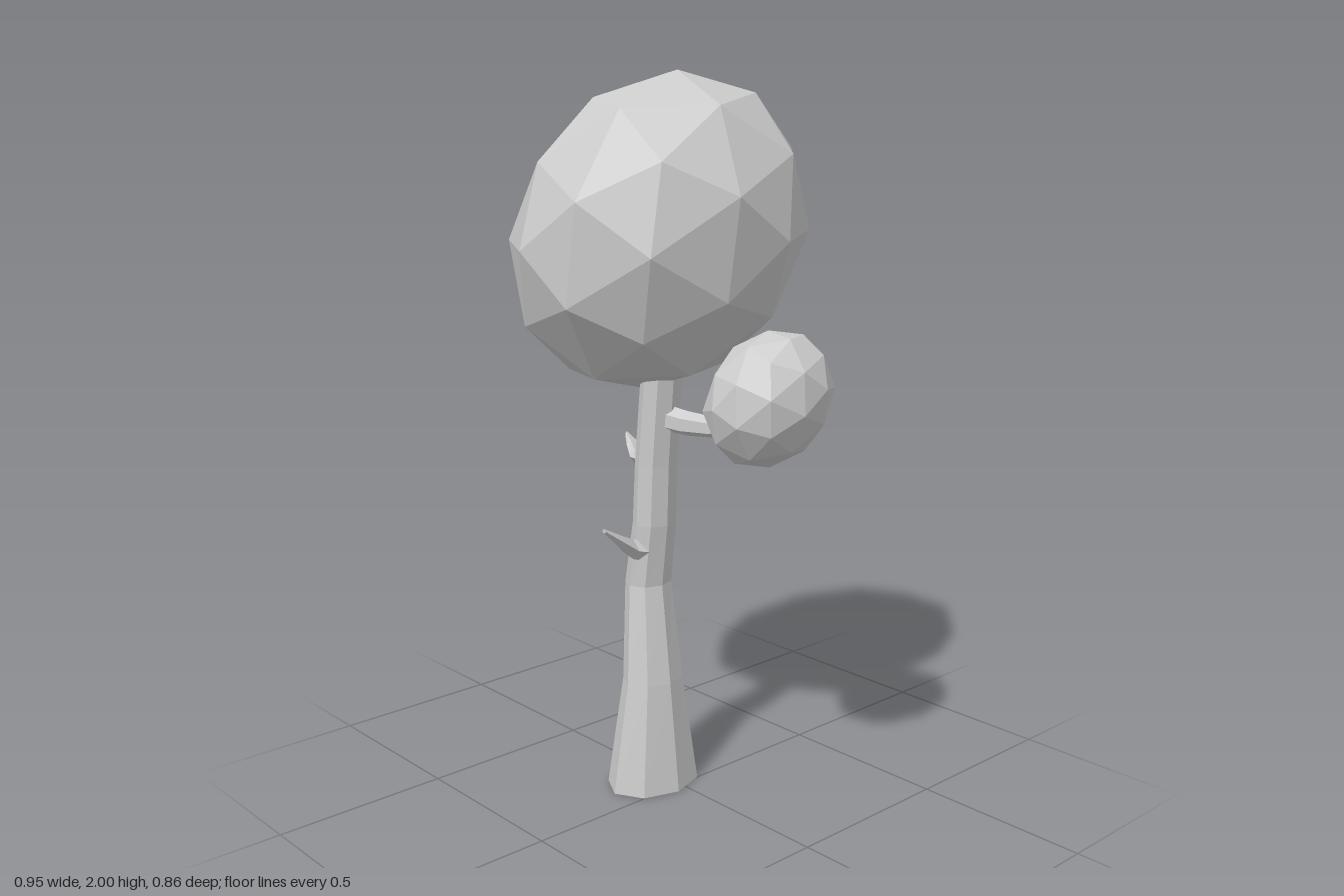
import * as THREE from 'three';

const bark = new THREE.MeshStandardMaterial({ color: 0xcccccc, flatShading: true });
const leaves = new THREE.MeshStandardMaterial({ color: 0xcccccc, flatShading: true });

const X = new THREE.Vector3(1, 0, 0);
const Y = new THREE.Vector3(0, 1, 0);
const Z = new THREE.Vector3(0, 0, 1);

// Closed limb through rings [x, y, z, radiusU, radiusV]; u x v points along the limb
function limb(name, rings, u, v, sides) {
  const pos = [];
  const index = [];
  for (const [x, y, z, ru, rv] of rings) {
    for (let j = 0; j < sides; j++) {
      const a = (j / sides) * Math.PI * 2;
      const p = new THREE.Vector3(x, y, z)
        .addScaledVector(u, Math.cos(a) * ru)
        .addScaledVector(v, Math.sin(a) * rv);
      pos.push(p.x, p.y, p.z);
    }
  }
  const last = (rings.length - 1) * sides;
  for (let j = 0; j < sides; j++) {
    const k = (j + 1) % sides;
    for (let r = 0; r < last; r += sides) {
      index.push(r + j, r + k, r + sides + k, r + j, r + sides + k, r + sides + j);
    }
    // End caps as fans
    if (j > 0 && k > 0) {
      index.push(0, k, j, last, last + j, last + k);
    }
  }
  const geo = new THREE.BufferGeometry();
  geo.setAttribute('position', new THREE.Float32BufferAttribute(pos, 3));
  geo.setIndex(index);
  const flat = geo.toNonIndexed();
  flat.computeVertexNormals();
  const mesh = new THREE.Mesh(flat, bark);
  mesh.name = name;
  return mesh;
}

// Faceted leaf ball, turned and then stretched along a leaning axis
function leafBall(name, centre, size, turn, stretch) {
  const geo = new THREE.IcosahedronGeometry(1, 1);
  geo.rotateX(Math.atan(2 / (1 + Math.sqrt(5)))); // a corner faces the front
  geo.rotateZ(THREE.MathUtils.degToRad(turn));
  geo.applyMatrix4(stretch);
  geo.scale(size, size, size);
  geo.computeVertexNormals();
  const mesh = new THREE.Mesh(geo, leaves);
  mesh.name = name;
  mesh.position.set(...centre);
  return mesh;
}

export function createModel() {
  const tree = new THREE.Group();
  tree.name = 'tree';

  // Trunk, flared at the foot and kinked halfway
  tree.add(limb('trunk', [
    [-0.08, 0, 0.035, 0.145, 0.112],
    [-0.075, 0.32, 0.038, 0.093, 0.075],
    [-0.1, 0.6, 0.032, 0.069, 0.06],
    [-0.07, 0.78, 0.034, 0.066, 0.054],
    [-0.062, 0.95, 0.034, 0.064, 0.052],
    [-0.035, 1.25, 0.034, 0.06, 0.05],
  ], Z, X, 8));

  // Branch that carries the small leaf ball
  tree.add(limb('leafyBranch', [
    [-0.05, 1.085, 0.03, 0.038, 0.038],
    [0.04, 1.075, 0.01, 0.034, 0.034],
    [0.13, 1.075, -0.01, 0.028, 0.028],
    [0.26, 1.15, -0.025, 0.022, 0.022],
  ], Y, Z, 6));

  // Bare side twig
  tree.add(limb('sideTwig', [
    [-0.06, 0.95, 0.02, 0.026, 0.026],
    [-0.14, 0.94, 0, 0.022, 0.02],
    [-0.21, 0.935, -0.02, 0.022, 0.022],
    [-0.245, 0.962, -0.035, 0.02, 0.015],
    [-0.28, 0.985, -0.045, 0.006, 0.006],
  ], Z, Y, 5));

  // Bare front twig
  tree.add(limb('frontTwig', [
    [-0.08, 0.7, 0.05, 0.045, 0.035],
    [-0.085, 0.715, 0.11, 0.04, 0.03],
    [-0.07, 0.745, 0.155, 0.025, 0.02],
    [-0.058, 0.793, 0.225, 0.008, 0.007],
  ], X, Y, 5));

  // Leaf balls share one leaning stretch
  const stretch = new THREE.Matrix4().makeBasis(
    new THREE.Vector3(0.397, 0.026, 0.09),
    new THREE.Vector3(0.026, 0.427, -0.015),
    new THREE.Vector3(-0.05, -0.02, 0.43),
  );
  tree.add(leafBall('canopy', [-0.08, 1.573, 0], 1, -23, stretch));
  tree.add(leafBall('smallCanopy', [0.312, 1.178, -0.023], 0.42, -8, stretch));

  return tree;
}
